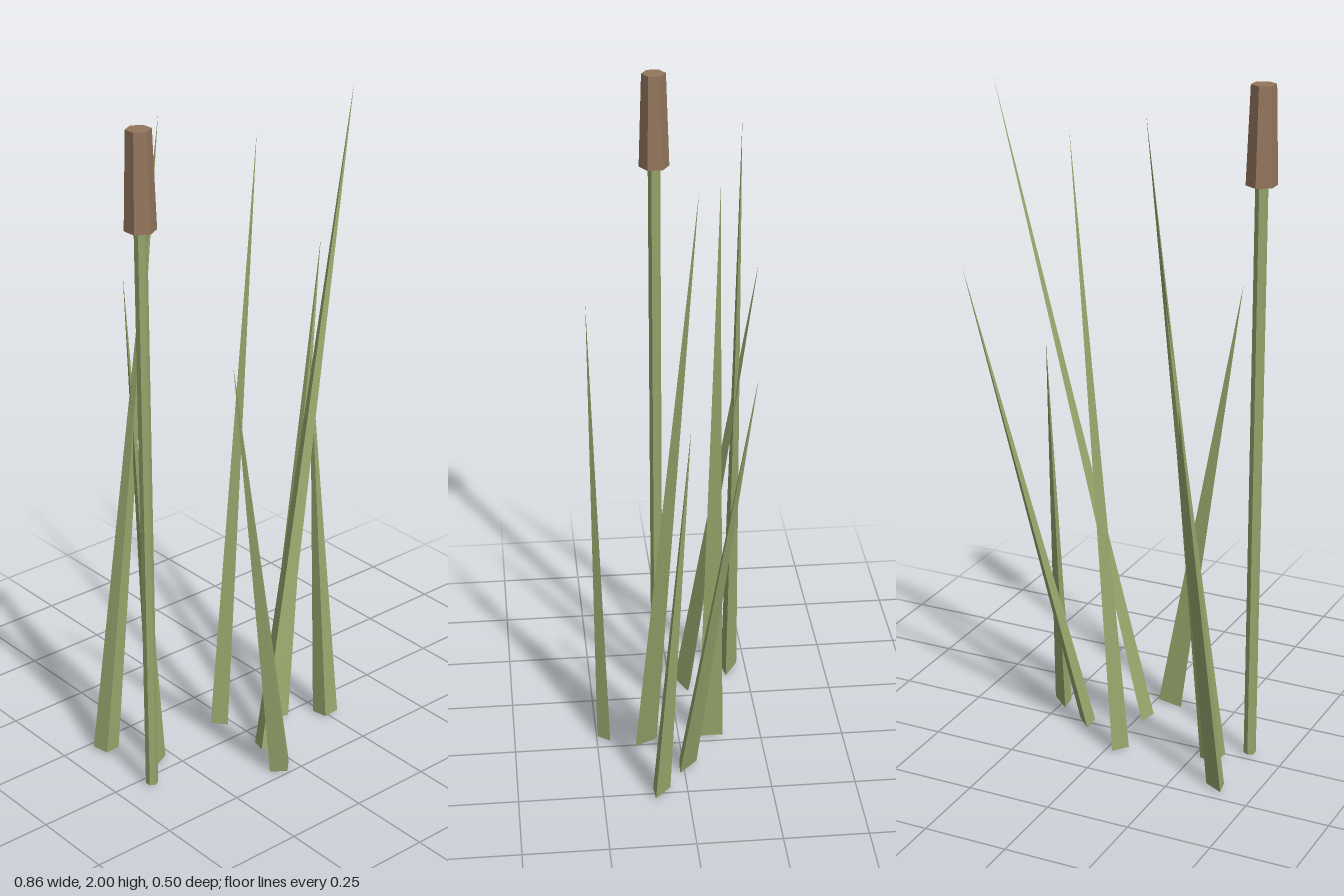
import * as THREE from 'three';

const UP = new THREE.Vector3(0, 1, 0);

export function createModel() {
  const model = new THREE.Group();
  model.name = 'reedClump';
  const green = new THREE.MeshStandardMaterial({ name: 'reedGreen', color: 0x97a76c, flatShading: true });
  const brown = new THREE.MeshStandardMaterial({ name: 'seedHeadBrown', color: 0x94765d, flatShading: true });

  // Each blade: base centre x, z; twist about its own axis; tip x, y, z
  const blades = [
    [-0.386, -0.193, -0.59, -0.153, 1.94, -0.187],
    [-0.31, -0.046, -2.62, -0.238, 1.475, -0.25],
    [-0.036, -0.097, -1.57, 0.12, 1.855, -0.097],
    [0.122, -0.005, -0.82, 0.426, 1.445, -0.165],
    [-0.019, 0.107, -1.13, 0.4, 1.955, -0.009],
    [0.247, 0.083, -0.7, 0.247, 1.205, -0.007],
    [-0.052, 0.223, 0, -0.256, 1.37, 0.246],
  ];

  // Flattened three-sided spikes leaning from base to tip
  blades.forEach(([x, z, twist, tx, ty, tz], i) => {
    const base = new THREE.Vector3(x, 0.008, z);
    const axis = new THREE.Vector3(tx, ty, tz).sub(base);
    const length = axis.length();
    const geometry = new THREE.ConeGeometry(0.043, length, 3)
      .translate(0, length / 2, 0)
      .scale(1, 1, 0.57)
      .rotateY(twist);
    const blade = new THREE.Mesh(geometry, green);
    blade.name = `blade${i + 1}`;
    blade.position.copy(base);
    blade.quaternion.setFromUnitVectors(UP, axis.normalize());
    model.add(blade);
  });

  // Upright cattail: thin stem and tapered hexagonal seed head
  const cattail = new THREE.Group();
  cattail.name = 'cattail';
  cattail.position.set(-0.392, 0, 0.034);
  const stem = new THREE.Mesh(new THREE.CylinderGeometry(0.018, 0.018, 1.725, 6), green);
  stem.name = 'stem';
  stem.position.y = 0.008 + 1.725 / 2;
  const head = new THREE.Mesh(new THREE.CylinderGeometry(0.035, 0.044, 0.275, 6), brown);
  head.name = 'seedHead';
  head.position.y = 2 - 0.275 / 2;
  cattail.add(stem, head);
  model.add(cattail);

  return model;
}
